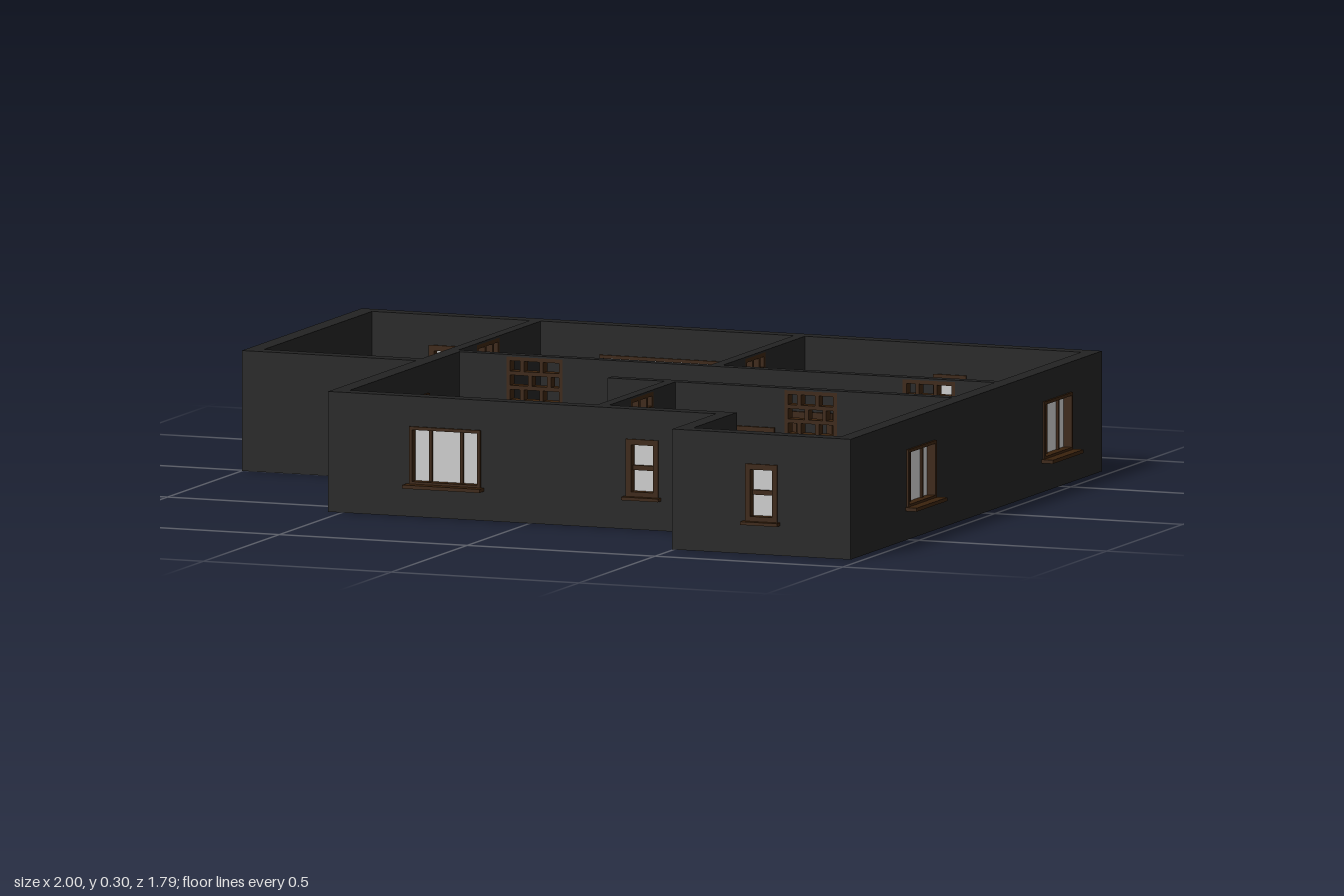
import * as THREE from 'three';

const wallMat = new THREE.MeshStandardMaterial({ color: 0x222222 });
wallMat.name = 'charcoal wall';
const woodMat = new THREE.MeshStandardMaterial({ color: 0x3a220d });
woodMat.name = 'dark wood';
const glassMat = new THREE.MeshStandardMaterial({ color: 0xcccccc });
glassMat.name = 'pale glass';

const H = 0.3;

// Box running along 'x' or 'z': a = along the wall, y = height, c = across the wall
function box(parent, name, mat, axis, a0, a1, y0, y1, c0, c1) {
  const la = a1 - a0, lc = Math.abs(c1 - c0), ma = (a0 + a1) / 2, mc = (c0 + c1) / 2;
  const alongX = axis === 'x';
  const mesh = new THREE.Mesh(new THREE.BoxGeometry(alongX ? la : lc, y1 - y0, alongX ? lc : la), mat);
  mesh.position.set(alongX ? ma : mc, (y0 + y1) / 2, alongX ? mc : ma);
  mesh.name = name;
  parent.add(mesh);
}

// Border of four bars around an opening
function border(g, axis, a0, a1, y0, y1, c0, c1, t, openBottom) {
  const side = openBottom ? y0 : y0 + t;
  box(g, 'frameSide', woodMat, axis, a0, a0 + t, side, y1 - t, c0, c1);
  box(g, 'frameSide', woodMat, axis, a1 - t, a1, side, y1 - t, c0, c1);
  box(g, 'frameTop', woodMat, axis, a0, a1, y1 - t, y1, c0, c1);
  if (!openBottom) box(g, 'frameBottom', woodMat, axis, a0, a1, y0, y0 + t, c0, c1);
}

// Fillings for the openings; out is the sign of the outdoor direction
const fillings = {
  wideWindow(g, axis, o, c0, c1, out) {
    const face = out > 0 ? c1 : c0, mid = (c0 + c1) / 2, w = o.a1 - o.a0;
    border(g, axis, o.a0, o.a1, o.y0, o.y1, c0 - 0.005, c1 + 0.005, 0.008);
    box(g, 'glass', glassMat, axis, o.a0, o.a1, o.y0, o.y1, mid - 0.002, mid + 0.002);
    for (const f of [0.27, 0.7])
      box(g, 'mullion', woodMat, axis, o.a0 + w * f - 0.004, o.a0 + w * f + 0.004, o.y0, o.y1, mid - 0.008, mid + 0.008);
    box(g, 'sill', woodMat, axis, o.a0 - 0.008, o.a1 + 0.008, o.y0 - 0.007, o.y0 + 0.002, face - out * 0.04, face + out * 0.03);
  },
  smallWindow(g, axis, o, c0, c1, out) {
    const face = out > 0 ? c1 : c0, mid = (c0 + c1) / 2, my = (o.y0 + o.y1) / 2;
    border(g, axis, o.a0, o.a1, o.y0, o.y1, c0 - 0.004, c1 + 0.004, 0.014);
    box(g, 'glass', glassMat, axis, o.a0, o.a1, o.y0, o.y1, mid - 0.002, mid + 0.002);
    box(g, 'crossbar', woodMat, axis, o.a0, o.a1, my - 0.006, my + 0.006, mid - 0.01, mid + 0.01);
    box(g, 'sill', woodMat, axis, o.a0 - 0.006, o.a1 + 0.006, o.y0 - 0.006, o.y0 + 0.002, face - out * 0.03, face + out * 0.02);
  },
  // Open hatch with a glazed strip, a raised flap and a counter
  servingHatch(g, axis, o, c0, c1) {
    const mid = (c0 + c1) / 2, w = o.a1 - o.a0;
    border(g, axis, o.a0, o.a1, o.y0, o.y1, c0 - 0.004, c1 + 0.004, 0.008);
    box(g, 'transom', woodMat, axis, o.a0, o.a1, 0.182, 0.19, c0, c1);
    box(g, 'glass', glassMat, axis, o.a0, o.a1, 0.19, o.y1, mid - 0.002, mid + 0.002);
    for (const f of [1 / 3, 2 / 3])
      box(g, 'mullion', woodMat, axis, o.a0 + w * f - 0.004, o.a0 + w * f + 0.004, 0.19, o.y1, mid - 0.008, mid + 0.008);
    box(g, 'raisedFlap', woodMat, axis, o.a0, o.a1, 0.187, 0.191, c0 - 0.115, c0 + 0.01);
    box(g, 'counter', woodMat, axis, o.a0 - 0.005, o.a1 + 0.005, o.y0 - 0.002, o.y0 + 0.007, c0 - 0.06, c1 + 0.006);
  },
  doorway(g, axis, o, c0, c1) {
    border(g, axis, o.a0, o.a1, 0, o.y1, c0 - 0.006, c1 + 0.006, 0.015, true);
  },
  // Open shelving with staggered dividers
  lattice(g, axis, o, c0, c1) {
    const rows = 8, t = 0.01, step = (o.y1 - t) / rows, w = o.a1 - o.a0;
    border(g, axis, o.a0, o.a1, 0, o.y1, c0, c1, t);
    for (let r = 0; r < rows; r++) {
      const y = r * step;
      if (r) box(g, 'shelf', woodMat, axis, o.a0 + t, o.a1 - t, y, y + t, c0, c1);
      for (const f of r % 2 ? [0.28, 0.62] : [0.42, 0.76])
        box(g, 'divider', woodMat, axis, o.a0 + w * f - t / 2, o.a0 + w * f + t / 2, y + t, y + step, c0, c1);
    }
  },
};

// Wall split into solid pieces around its openings (sorted along the wall)
function wall(root, name, axis, a0, a1, c0, c1, out = 0, openings = []) {
  const g = new THREE.Group();
  g.name = name;
  let a = a0;
  for (const o of openings) {
    box(g, 'wallPiece', wallMat, axis, a, o.a0, 0, H, c0, c1);
    if (o.y0 > 0) box(g, 'wallBelow', wallMat, axis, o.a0, o.a1, 0, o.y0, c0, c1);
    if (o.y1 < H) box(g, 'wallAbove', wallMat, axis, o.a0, o.a1, o.y1, H, c0, c1);
    const part = new THREE.Group();
    part.name = o.kind;
    fillings[o.kind](part, axis, o, c0, c1, out);
    g.add(part);
    a = o.a1;
  }
  box(g, 'wallPiece', wallMat, axis, a, a1, 0, H, c0, c1);
  root.add(g);
}

const opening = (kind, y0, y1) => (a0, a1) => ({ kind, a0, a1, y0, y1 });
const wide = opening('wideWindow', 0.08, 0.225);
const small = opening('smallWindow', 0.08, 0.225);
const hatch = opening('servingHatch', 0.08, 0.225);
const door = opening('doorway', 0, 0.2);
const lattice = opening('lattice', 0, 0.295);

export function createModel() {
  const root = new THREE.Group();
  root.name = 'housePlan';

  // Outer walls
  wall(root, 'backWall', 'x', -1, 0.97, -0.78, -0.74, -1,
    [small(-0.805, -0.718), hatch(-0.35, 0.02), small(0.538, 0.625)]);
  wall(root, 'wingSideWall', 'z', -0.74, 0.01, -1, -0.957);
  wall(root, 'wingFrontWall', 'x', -0.957, -0.537, 0.01 - 0.04, 0.01);
  wall(root, 'livingSideWall', 'z', -0.19, 0.588, -0.537, -0.495, -1, [wide(0.033, 0.22)]);
  wall(root, 'livingFrontWall', 'x', -0.495, 0.535, 0.548, 0.588, 1,
    [wide(-0.32, -0.13), small(0.257, 0.343)]);
  wall(root, 'entrySideWall', 'z', 0.588, 0.875, 0.495, 0.535);
  wall(root, 'entryFrontWall', 'x', 0.535, 0.93, 0.833, 0.875, 1, [small(0.69, 0.776)]);
  wall(root, 'longSideWall', 'z', -0.74, 0.875, 0.93, 0.97, 1,
    [wide(-0.577, -0.39), wide(0.32, 0.507)]);

  // Inner walls
  wall(root, 'wingPartition', 'z', -0.74, -0.19, -0.537, -0.508, 0, [lattice(-0.47, -0.32)]);
  wall(root, 'backRoomPartition', 'z', -0.74, -0.2, 0.165, 0.195, 0, [lattice(-0.48, -0.35)]);
  wall(root, 'hallBackWall', 'x', -0.508, 0.93, -0.2, -0.172, 0,
    [lattice(-0.37, -0.22), door(-0.06, 0.06), door(0.39, 0.5), lattice(0.685, 0.825)]);
  wall(root, 'hallFrontWall', 'x', 0.015, 0.93, 0.083, 0.112, 0,
    [door(0.345, 0.46), lattice(0.485, 0.625)]);
  wall(root, 'frontRoomPartition', 'z', 0.112, 0.548, 0.165, 0.195, 0, [lattice(0.255, 0.405)]);

  return root;
}
